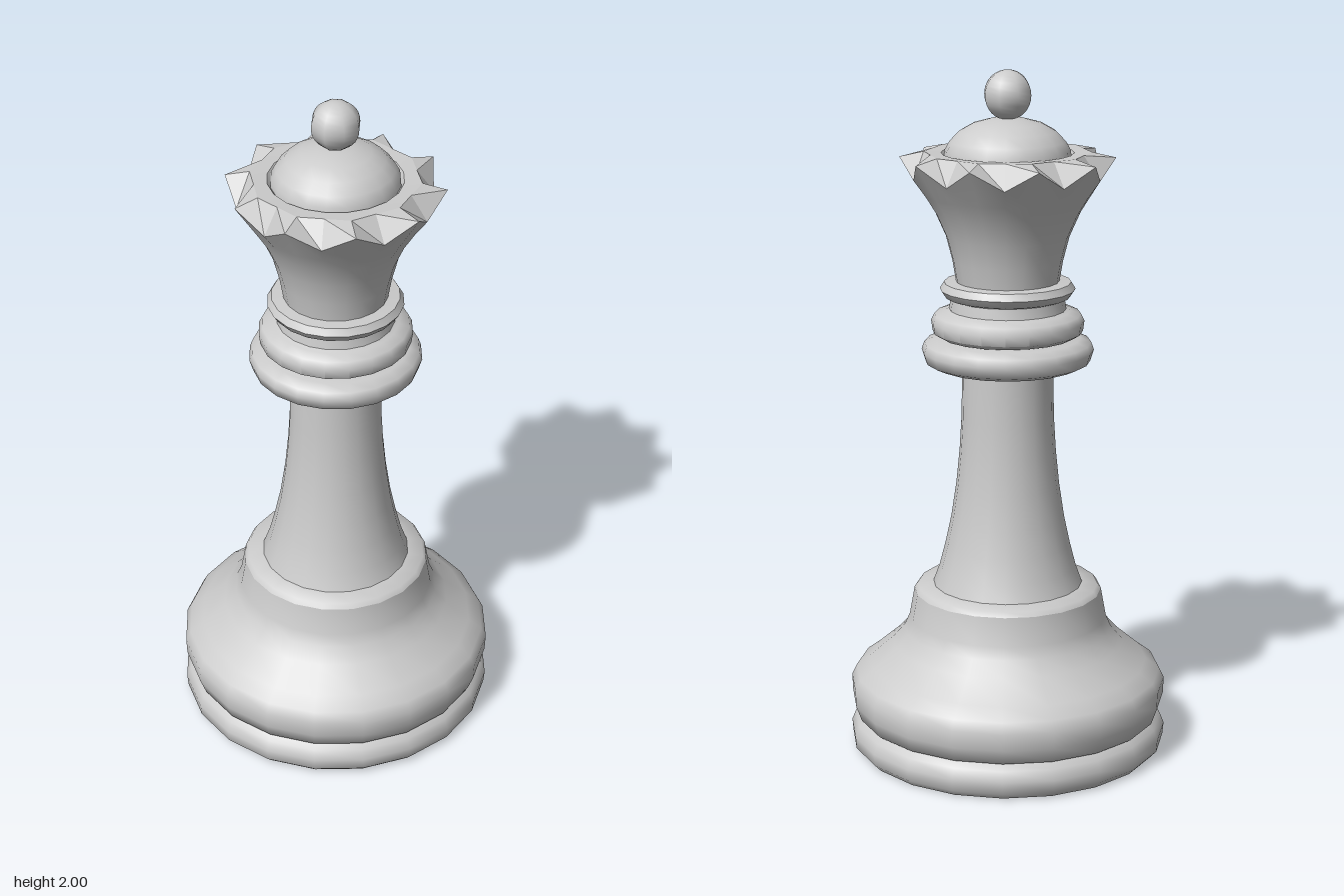
import * as THREE from 'three';
import { toCreasedNormals } from 'three/addons/utils/BufferGeometryUtils.js';

const SIDES = 20;
const material = new THREE.MeshStandardMaterial({ color: 0xcccccc });

// Turned part: profile of [radius, height], listed from the bottom up the outside
function turned(name, profile, crease = 0.9, sides = SIDES) {
  const points = profile.map(([r, y]) => new THREE.Vector2(r, y));
  const geometry = toCreasedNormals(new THREE.LatheGeometry(points, sides), crease);
  const mesh = new THREE.Mesh(geometry, material);
  mesh.name = name;
  return mesh;
}

// Turned part whose odd columns follow a second profile, giving ten points and ten notches
function scalloped(name, tips, notches, crease) {
  const points = tips.map(([r, y]) => new THREE.Vector2(r, y));
  const geometry = new THREE.LatheGeometry(points, SIDES);
  const pos = geometry.attributes.position;
  for (let i = 1; i < SIDES; i += 2) {
    const a = (i / SIDES) * Math.PI * 2;
    notches.forEach(([r, y], j) => pos.setXYZ(i * tips.length + j, r * Math.sin(a), y, r * Math.cos(a)));
  }
  const mesh = new THREE.Mesh(toCreasedNormals(geometry, crease), material);
  mesh.name = name;
  return mesh;
}

export function createModel() {
  const group = new THREE.Group();
  group.name = 'chessQueen';

  // Foot and bulging base
  group.add(turned('foot', [
    [0, 0], [0.445, 0], [0.464, 0.02], [0.467, 0.055], [0.455, 0.085], [0.435, 0.1],
  ]));
  group.add(turned('base', [
    [0.435, 0.1], [0.447, 0.105], [0.463, 0.15], [0.465, 0.2], [0.45, 0.23], [0.41, 0.26],
    [0.34, 0.32], [0.305, 0.36], [0.29, 0.395], [0.275, 0.478],
  ]));
  group.add(turned('baseShoulder', [[0.275, 0.478], [0.265, 0.492], [0.21, 0.5]]));

  // Stem, flaring towards the base
  group.add(turned('stem', [
    [0.22, 0.495], [0.2, 0.55], [0.182, 0.62], [0.165, 0.7], [0.15, 0.8],
    [0.14, 0.9], [0.134, 1.0], [0.131, 1.16],
  ]));

  // Three stacked collars
  group.add(turned('lowerCollar', [
    [0.12, 1.155], [0.21, 1.155], [0.238, 1.168], [0.248, 1.2], [0.24, 1.222], [0.21, 1.235], [0.16, 1.24],
  ]));
  group.add(turned('middleCollar', [
    [0.165, 1.235], [0.195, 1.242], [0.216, 1.255], [0.22, 1.285], [0.21, 1.305], [0.18, 1.315], [0.168, 1.32],
    [0.162, 1.355],
  ]));
  group.add(turned('upperCollar', [
    [0.16, 1.35], [0.18, 1.357], [0.194, 1.378], [0.182, 1.398], [0.14, 1.402],
  ]));

  // Flared crown with ten points
  const flare = [[0.148, 1.4], [0.158, 1.46], [0.176, 1.53], [0.207, 1.6], [0.238, 1.65]];
  group.add(scalloped('crown',
    [...flare, [0.306, 1.755]],
    [...flare, [0.274, 1.7]], 0.8));
  // Facets sloping from the points up to the rim
  group.add(scalloped('crownBevel',
    [[0.306, 1.755], [0.237, 1.77]],
    [[0.274, 1.7], [0.225, 1.77]], 0.05));
  // Shallow dish around the dome
  group.add(scalloped('crownDish',
    [[0.237, 1.77], [0.188, 1.768], [0.175, 1.75]],
    [[0.225, 1.77], [0.188, 1.768], [0.175, 1.75]], 0.4));

  // Dome and finial
  group.add(turned('dome', [
    [0.18, 1.75], [0.178, 1.775], [0.164, 1.8], [0.137, 1.828], [0.098, 1.85], [0.05, 1.863], [0, 1.866],
  ]));
  const ball = new THREE.Mesh(new THREE.SphereGeometry(0.07, 8, 16), material);
  ball.name = 'finial';
  ball.position.y = 1.93;
  group.add(ball);

  return group;
}
